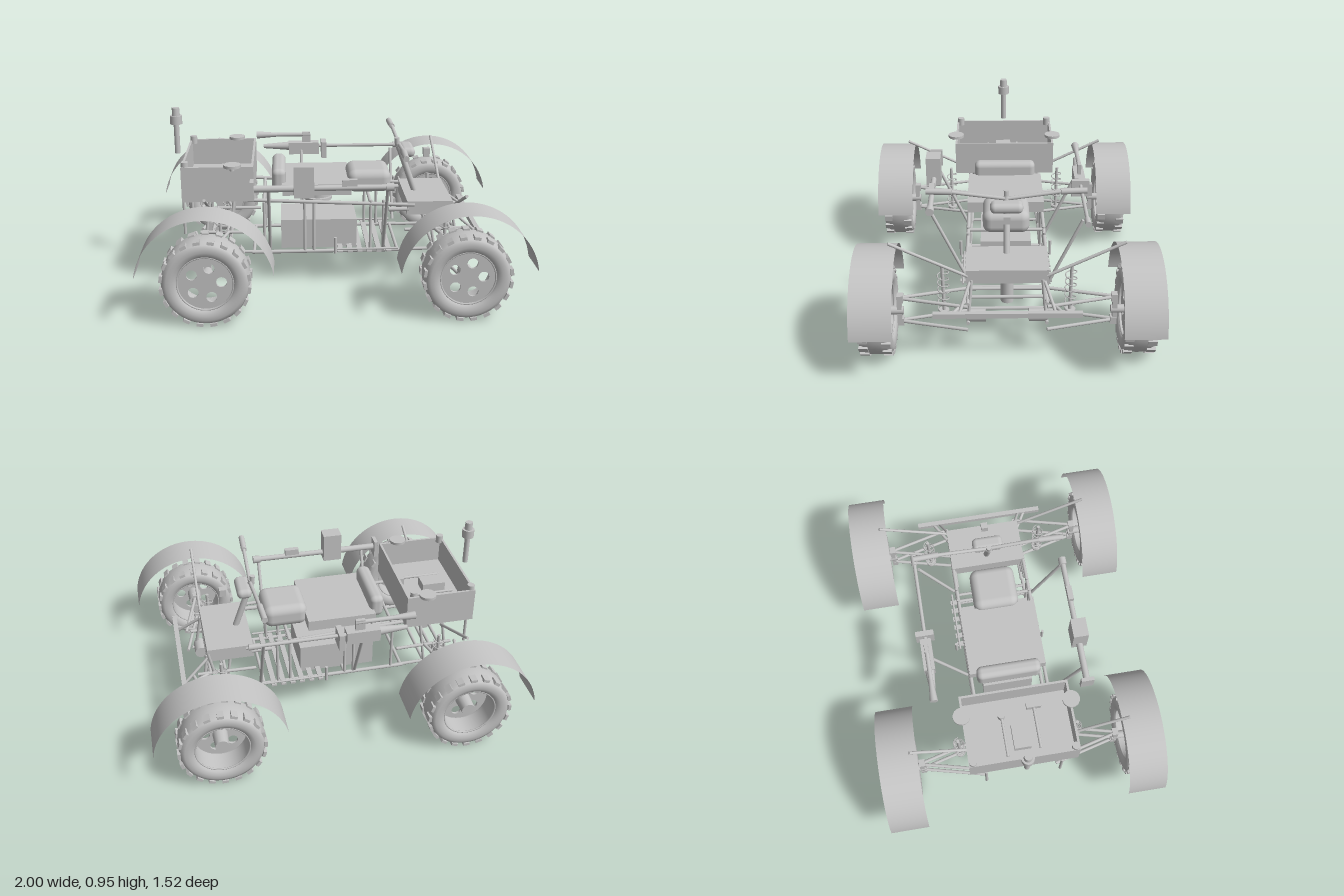
import * as THREE from 'three';
import { RoundedBoxGeometry } from 'three/addons/geometries/RoundedBoxGeometry.js';

const grey = new THREE.MeshStandardMaterial({ color: 0xc4c4c4, side: THREE.DoubleSide });
grey.name = 'grey';
const V = (p) => new THREE.Vector3(...p);

export function createModel() {
  const root = new THREE.Group();
  root.name = 'rover';

  function add(name, geo, pos = [0, 0, 0], parent = root) {
    const m = new THREE.Mesh(geo, grey);
    m.name = name;
    m.position.set(...pos);
    parent.add(m);
    return m;
  }
  // Box given by its minimum and maximum corners
  function box(name, a, b, radius = 0) {
    const s = b.map((v, i) => v - a[i]);
    const geo = radius ? new RoundedBoxGeometry(...s, 4, radius) : new THREE.BoxGeometry(...s);
    return add(name, geo, a.map((v, i) => (v + b[i]) / 2));
  }
  // Round bar between two points, optionally tapered
  function rod(name, a, b, r = 0.009, r2 = r, parent = root) {
    const p = V(a), q = V(b), d = q.clone().sub(p);
    const m = add(name, new THREE.CylinderGeometry(r2, r, d.length(), 16), [0, 0, 0], parent);
    m.position.copy(p).add(q).multiplyScalar(0.5);
    m.quaternion.setFromUnitVectors(new THREE.Vector3(0, 1, 0), d.normalize());
    return m;
  }

  // Wheels: the pierced disc faces +z on all four
  const tireProfile = [[0.14, -0.066], [0.15, -0.078], [0.17, -0.084], [0.192, -0.084], [0.209, -0.076], [0.219, -0.055], [0.221, 0],
    [0.219, 0.055], [0.209, 0.076], [0.192, 0.084], [0.17, 0.084], [0.15, 0.078], [0.14, 0.066], [0.136, 0.04]].map((p) => new THREE.Vector2(...p));
  const tireGeo = new THREE.LatheGeometry(tireProfile, 64).rotateX(Math.PI / 2);
  const disc = new THREE.Shape().absarc(0, 0, 0.14, 0, Math.PI * 2);
  for (let i = 0; i < 5; i++) {
    const a = i * Math.PI * 0.4 + 0.05;
    disc.holes.push(new THREE.Path().absarc(0.08 * Math.cos(a), 0.08 * Math.sin(a), 0.027, 0, Math.PI * 2, true));
  }
  const discGeo = new THREE.ExtrudeGeometry(disc, { depth: 0.012, bevelEnabled: false, curveSegments: 28 });
  const barrelGeo = new THREE.CylinderGeometry(0.138, 0.138, 0.13, 48, 1, true).rotateX(Math.PI / 2);
  const lugGeo = new THREE.BoxGeometry(0.034, 0.016, 0.046);

  function wheel(x, side) {
    const w = new THREE.Group();
    w.name = 'wheel';
    w.position.set(x, 0.232, side * 0.66);
    root.add(w);
    add('tire', tireGeo, [0, 0, 0], w);
    add('rimBarrel', barrelGeo, [0, 0, 0], w);
    add('rimDisc', discGeo, [0, 0, 0.045], w);
    for (const z of [-0.066, 0.066]) add('rimLip', new THREE.TorusGeometry(0.14, 0.005, 8, 48), [0, 0, z], w);
    rod('hub', [0, 0, -0.05], [0, 0, 0.05], 0.036, 0.04, w);
    // Tread blocks in two staggered rows
    for (let row = -1; row <= 1; row += 2) {
      for (let i = 0; i < 20; i++) {
        const a = (i + (row > 0 ? 0.5 : 0)) * Math.PI / 10;
        const lug = add('treadLug', lugGeo, [-0.22 * Math.sin(a), 0.22 * Math.cos(a), row * 0.058], w);
        lug.rotation.z = a;
      }
    }
  }

  // Coil spring for the dampers
  const coil = [];
  for (let i = 0; i <= 72; i++) {
    const a = i * Math.PI / 6;
    coil.push(new THREE.Vector3(0.029 * Math.cos(a), 0.23 * i / 72, 0.029 * Math.sin(a)));
  }
  const springGeo = new THREE.TubeGeometry(new THREE.CatmullRomCurve3(coil), 108, 0.003, 6);

  // Fender arc
  const fenderGeo = new THREE.CylinderGeometry(0.346, 0.346, 0.208, 48, 1, true,
    THREE.MathUtils.degToRad(98), THREE.MathUtils.degToRad(164)).rotateX(Math.PI / 2);

  for (const ex of [-1, 1]) {
    for (const s of [-1, 1]) {
      const x = ex * 0.655;
      wheel(x, s);
      add('fender', fenderGeo, [ex * 0.6575, 0.23, s * 0.658]);
      rod('fenderStrut', [x, 0.62, s * 0.59], [x, 0.43, s * 0.2], 0.008);
      // Wishbones, knuckle and axle
      for (const y of [0.17, 0.305]) {
        for (const o of [-0.09, 0.09]) rod('wishbone', [x, y, s * 0.56], [x + o, y, s * 0.2], 0.009);
        box('balljoint', [x - 0.02, y - 0.02, s * 0.545 - 0.016], [x + 0.02, y + 0.02, s * 0.545 + 0.016]);
      }
      box('knuckle', [x - 0.018, 0.15, s * 0.55 - 0.012], [x + 0.018, 0.32, s * 0.55 + 0.012]);
      rod('axle', [x, 0.232, s * 0.53], [x, 0.232, s * 0.62], 0.022);
      rod('driveMotor', [ex * 0.675, 0.212, s * 0.11], [ex * 0.675, 0.212, s * 0.205], 0.034);
      // Damper with spring
      rod('damper', [ex * 0.6, 0.17, s * 0.325], [ex * 0.6, 0.46, s * 0.33], 0.009);
      add('spring', springGeo, [ex * 0.6, 0.2, s * 0.327]);
      rod('springSeat', [ex * 0.6, 0.19, s * 0.327], [ex * 0.6, 0.2, s * 0.327], 0.028);
      rod('axleFrameLower', [ex * 0.4, 0.185, s * 0.2], [ex * 0.72, 0.19, s * 0.2]);
      rod('axleFrameUpper', [ex * 0.4, 0.3, s * 0.2], [ex * 0.72, 0.305, s * 0.2]);
      for (const px of [0.57, 0.7]) rod('axlePost', [ex * px, 0.185, s * 0.2], [ex * (px - 0.04), ex > 0 ? 0.41 : 0.5, s * 0.18], 0.008);
    }
    for (const px of [0.57, 0.65]) {
      for (const y of [0.185, 0.305]) rod('crossMember', [ex * px, y, -0.2], [ex * px, y, 0.2]);
    }
  }

  // Main tube frame
  for (const s of [-1, 1]) {
    const z = s * 0.205;
    rod('lowerRail', [-0.44, 0.185, z], [0.4, 0.185, z], 0.01);
    rod('upperRail', [-0.8, 0.505, z], [0.45, 0.445, z], 0.01);
    for (const x of [-0.37, -0.15, -0.1, 0.21, 0.28]) rod('framePost', [x, 0.185, z], [x, 0.475, z], 0.008);
    rod('rearPost', [-0.8, 0.3, z], [-0.8, 0.51, z], 0.008);
    for (const x of s > 0 ? [-0.34, 0.28] : [-0.155, 0.38]) rod('toolStrut', [x, 0.21, s * 0.22], [x, 0.6, s * 0.4], 0.009);
    rod('footPeg', [0.31, 0.42, s * 0.2], [0.42, 0.42, s * 0.2], 0.012);
  }
  for (const x of [-0.43, -0.1, 0.36]) rod('floorCross', [x, 0.185, -0.205], [x, 0.185, 0.205]);
  for (const x of [-0.78, -0.37, 0.21]) rod('upperCross', [x, 0.465 - 0.04 * x, -0.205], [x, 0.465 - 0.04 * x, 0.205]);

  // Slatted foot floor
  for (let i = 0; i < 6; i++) box('floorSlat', [0.03 + i * 0.053, 0.19, -0.25], [0.058 + i * 0.053, 0.2, 0.25]);
  for (const s of [-1, 1]) {
    rod('floorEdge', [0.01, 0.205, s * 0.235], [0.36, 0.205, s * 0.235], 0.006);
    rod('floorPeg', [0.015, 0.19, s * 0.255], [0.015, 0.28, s * 0.255], 0.008);
  }

  // Battery, deck and seats
  box('batteryCase', [-0.28, 0.18, -0.14], [0.14, 0.345, 0.14]);
  box('deck', [-0.27, 0.51, -0.21], [0.105, 0.57, 0.21]);
  box('rearCushion', [-0.325, 0.52, -0.175], [-0.25, 0.645, 0.175], 0.03);
  box('seat', [0.09, 0.487, -0.125], [0.33, 0.615, 0.125], 0.045);
  for (let i = 0; i < 4; i++) rod('suspensionRing', [-0.07, 0.425 + i * 0.024, 0], [-0.07, 0.441 + i * 0.024, 0], 0.08);
  rod('suspensionCore', [-0.07, 0.425, 0], [-0.07, 0.51, 0], 0.06);

  // Open cargo tray
  box('trayFloor', [-0.8, 0.51, -0.29], [-0.42, 0.55, 0.29]);
  for (const s of [-1, 1]) {
    box('traySide', [-0.8, 0.51, s * 0.285 - 0.006], [-0.42, 0.7, s * 0.285 + 0.006]);
    const ex = s > 0 ? -0.426 : -0.794;
    box('trayEnd', [ex - 0.006, 0.51, -0.29], [ex + 0.006, 0.7, 0.29]);
    rod('trayCornerKnob', [-0.78, 0.68, s * 0.268], [-0.78, 0.725, s * 0.268], 0.02);
    rod('trayDisc', [-0.53, 0.7, s * 0.29], [-0.53, 0.715, s * 0.29], 0.046);
    rod('trayDiscStem', [-0.53, 0.685, s * 0.305], [-0.53, 0.7, s * 0.305], 0.012);
  }
  box('cargoCase', [-0.72, 0.55, -0.04], [-0.59, 0.6, 0.05]);
  rod('scoopHandle', [-0.75, 0.57, -0.08], [-0.54, 0.57, -0.08], 0.007);
  rod('scoopHead', [-0.525, 0.55, -0.08], [-0.525, 0.59, -0.08], 0.02);
  rod('hammerHandle', [-0.73, 0.57, 0.1], [-0.5, 0.57, 0.1], 0.008);
  box('hammerHead', [-0.51, 0.55, 0.06], [-0.48, 0.59, 0.14]);

  // Beacon mast
  rod('mast', [-0.843, 0.7, 0], [-0.843, 0.87, 0], 0.015);
  rod('beaconBody', [-0.843, 0.865, 0], [-0.843, 0.912, 0], 0.033);
  rod('beaconTop', [-0.843, 0.912, 0], [-0.843, 0.955, 0], 0.022, 0.02);

  // Left side tool
  rod('leftToolBar', [-0.42, 0.615, 0.405], [0.3, 0.615, 0.405], 0.015);
  rod('leftToolBarrel', [-0.42, 0.615, 0.405], [-0.2, 0.615, 0.405], 0.018);
  box('leftToolStock', [-0.435, 0.56, 0.37], [-0.415, 0.66, 0.44]);
  box('leftToolBox', [-0.21, 0.575, 0.365], [-0.105, 0.74, 0.447]);
  box('leftToolGrip', [0.04, 0.625, 0.39], [0.12, 0.66, 0.42]);
  rod('leftToolEnd', [0.27, 0.615, 0.405], [0.31, 0.615, 0.405], 0.022);

  // Right side tool
  rod('rightToolNozzle', [-0.42, 0.685, -0.42], [-0.3, 0.685, -0.42], 0.022, 0.012);
  rod('rightToolBarrel', [-0.3, 0.685, -0.42], [-0.1, 0.685, -0.42], 0.012);
  rod('rightToolCone', [-0.38, 0.615, -0.42], [-0.22, 0.615, -0.42], 0.012, 0.026);
  box('rightToolBody', [-0.23, 0.57, -0.45], [-0.05, 0.64, -0.39]);
  box('rightToolSight', [-0.15, 0.63, -0.43], [-0.1, 0.7, -0.41]);
  box('rightToolPlate', [-0.035, 0.55, -0.47], [-0.005, 0.645, -0.37]);
  rod('rightToolRod', [-0.05, 0.615, -0.42], [0.46, 0.615, -0.42], 0.01);
  rod('rightToolTip', [0.4, 0.615, -0.42], [0.46, 0.615, -0.42], 0.016);

  // Hood plate, steering column and handlebars
  box('hood', [0.41, 0.39, -0.21], [0.66, 0.465, 0.21]);
  rod('steeringColumn', [0.48, 0.45, 0], [0.375, 0.74, 0], 0.017);
  rod('columnKnob', [0.375, 0.72, 0], [0.37, 0.77, 0], 0.014);
  box('instrumentPanel', [0.385, 0.675, -0.085], [0.465, 0.73, 0.085], 0.026);
  box('mirrorBlock', [0.52, 0.67, -0.018], [0.555, 0.71, 0.018]);
  for (const s of [-1, 1]) {
    rod('handlebar', [0.385, 0.73, 0], [0.375, 0.765, s * 0.29], 0.01);
    rod('handGrip', [0.375, 0.765, s * 0.28], [0.37, 0.767, s * 0.415], 0.016);
    // Bumper supports
    rod('bumperStay', [0.66, 0.3, s * 0.2], [0.8, 0.295, s * 0.28], 0.009);
    rod('bumperBrace', [0.66, 0.4, s * 0.19], [0.79, 0.295, s * 0.24], 0.008);
  }
  box('frontBumper', [0.787, 0.282, -0.372], [0.813, 0.308, 0.372]);
  rod('steeringGear', [0.61, 0.26, 0], [0.61, 0.39, 0], 0.033);
  return root;
}
